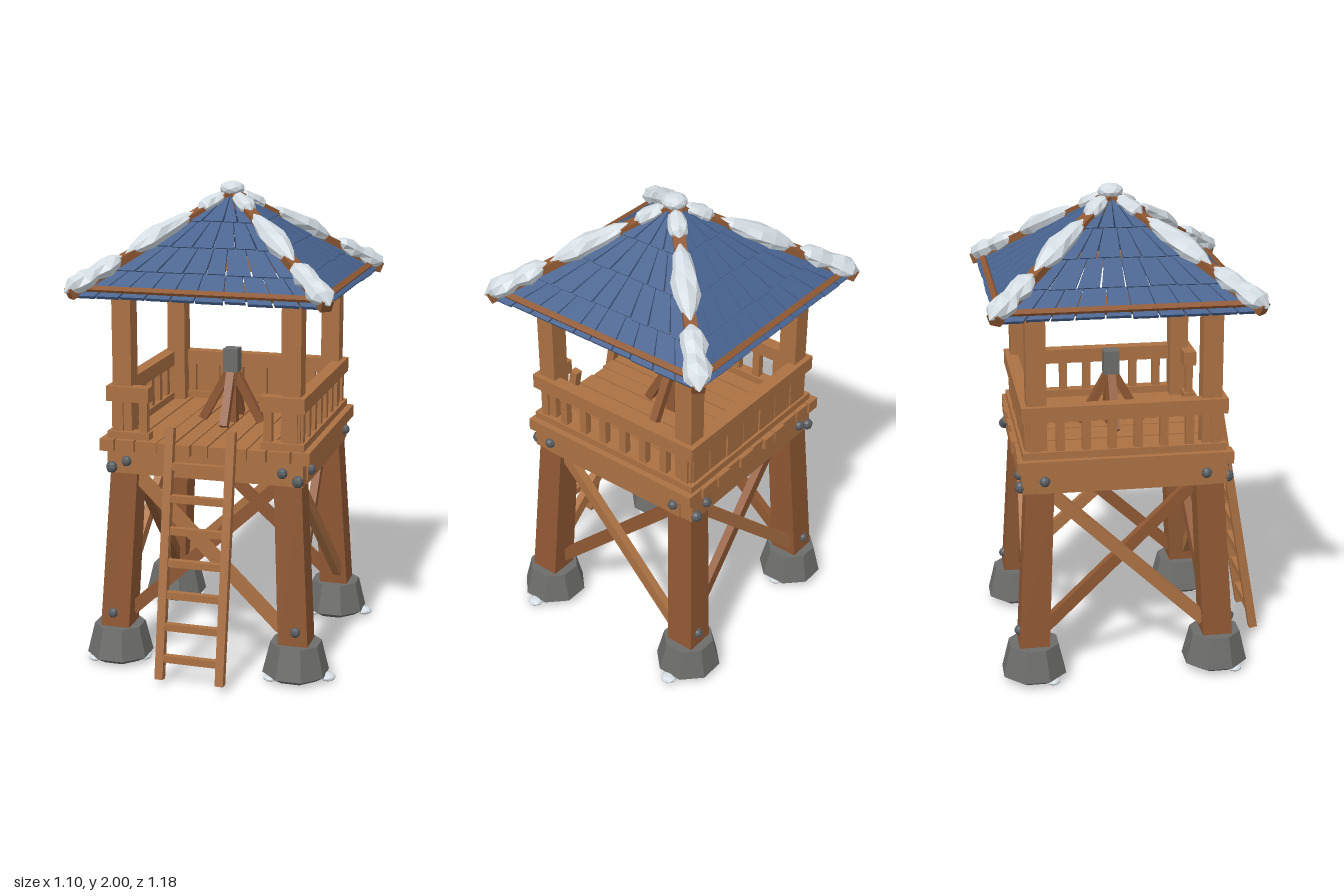
import * as THREE from 'three';
import { mergeGeometries } from 'three/addons/utils/BufferGeometryUtils.js';

const mat = (name, color, flatShading = false) => {
  const m = new THREE.MeshStandardMaterial({ color, flatShading });
  m.name = name;
  return m;
};

export function createModel() {
  const wood = mat('light wood', 0xab7143);
  const darkWood = mat('dark wood', 0x8f5833);
  const stone = mat('stone', 0x6c6c6a, true);
  const iron = mat('iron', 0x585c60, true);
  const blue = mat('blue shingle', 0x48638f);
  const snow = mat('snow', 0xd3dce2, true);

  const model = new THREE.Group();
  const tower = new THREE.Group();
  tower.name = 'tower';
  tower.position.set(-0.005, 0, -0.05);
  model.add(tower);

  let seed = 7;
  const rand = () => (seed = (seed * 16807) % 2147483647) / 2147483647;
  const add = (parent, name, geo, material, x = 0, y = 0, z = 0) => {
    const m = new THREE.Mesh(geo, material);
    m.name = name;
    m.position.set(x, y, z);
    parent.add(m);
    return m;
  };
  const box = (parent, name, material, w, h, d, x, y, z) =>
    add(parent, name, new THREE.BoxGeometry(w, h, d), material, x, y, z);
  // A part stretched from a to b; its geometry runs along local z
  const along = (parent, name, geo, material, a, b) => {
    const A = new THREE.Vector3(...a), B = new THREE.Vector3(...b);
    const m = add(parent, name, geo, material);
    const look = new THREE.Object3D();
    look.lookAt(B.clone().sub(A));
    m.quaternion.copy(look.quaternion);
    m.position.copy(A.add(B).multiplyScalar(0.5));
    return m;
  };
  const dist = (a, b) => new THREE.Vector3(...a).distanceTo(new THREE.Vector3(...b));
  const beam = (parent, name, material, a, b, w, h) =>
    along(parent, name, new THREE.BoxGeometry(w, h, dist(a, b)), material, a, b);
  // Lumpy snow drift: half widths w spaced evenly from a to b
  const drift = (parent, a, b, w, flat = 0.75) => {
    const L = dist(a, b);
    const pts = [0, ...w, 0].map((r, i, all) => new THREE.Vector2(r, (i / (all.length - 1) - 0.5) * L));
    const g = new THREE.LatheGeometry(pts, 8);
    const p = g.attributes.position;
    for (let i = 0; i < p.count; i++) {
      const x = p.getX(i), y = p.getY(i), z = p.getZ(i);
      const k = 1 + 0.1 * Math.sin(x * 90 + y * 70 + z * 50);
      p.setXYZ(i, x * k, y, z * k * flat);
    }
    g.rotateX(Math.PI / 2);
    return along(parent, 'snowDrift', g, snow, a, b);
  };
  const lump = (parent, r, x, y, z, sy) => {
    const m = add(parent, 'snowLump', new THREE.IcosahedronGeometry(r, 1), snow, x, y, z);
    m.scale.y = sy;
    return m;
  };
  const bolt = (parent, x, y, z, r = 0.022) =>
    add(parent, 'bolt', new THREE.SphereGeometry(r, 8, 6), iron, x, y, z);

  // Corners: footing, leaning leg, upper post
  for (const sx of [-1, 1]) for (const sz of [-1, 1]) {
    const corner = new THREE.Group();
    corner.name = 'corner';
    tower.add(corner);
    const prof = [[0, 0.005], [0.1, 0.005], [0.14, 0.03], [0.108, 0.16], [0, 0.16]];
    const foot = add(corner, 'stoneFooting',
      new THREE.LatheGeometry(prof.map(p => new THREE.Vector2(...p)), 8), stone, sx * 0.385, 0, sz * 0.385);
    foot.rotation.y = Math.PI / 8;
    lump(corner, 0.035, sx * 0.385 + (sx > 0 ? 0.135 : 0.105), 0.018, sz * 0.385, 0.5);
    lump(corner, 0.03, sx * 0.385 - 0.09, 0.015, sz * 0.385 + 0.07, 0.5);
    const legGeo = new THREE.BoxGeometry(0.125, 0.72, 0.125);
    const p = legGeo.attributes.position;
    for (let i = 0; i < p.count; i++) if (p.getY(i) > 0) {
      p.setX(i, p.getX(i) * 0.92 - sx * 0.04);
      p.setZ(i, p.getZ(i) * 0.92 - sz * 0.04);
    }
    legGeo.computeVertexNormals();
    add(corner, 'leg', legGeo, darkWood, sx * 0.387, 0.5, sz * 0.387);
    box(corner, 'post', wood, 0.08, 0.65, 0.08, sx * 0.355, 1.285, sz * 0.355);
    bolt(corner, sx * 0.395, 0.22, sz * 0.443);
    bolt(corner, sx * 0.395, 0.855, sz * 0.425, 0.025);
  }

  // Roof slope constants
  const apex = 1.93, k = 0.7, tilt = Math.atan(k), cosT = Math.cos(tilt);
  const rows = [0.012, 0.145, 0.27, 0.39, 0.515], counts = [4, 6, 8, 10];

  for (let s = 0; s < 4; s++) {
    const side = new THREE.Group();
    side.name = ['frontSide', 'leftSide', 'backSide', 'rightSide'][s];
    side.rotation.y = s * Math.PI / 2;
    tower.add(side);
    const len = s % 2 ? 0.72 : 0.83;

    // Frame under the deck, cross braces and bolts
    box(side, 'deckBeam', wood, len, 0.095, 0.06, 0, 0.878, 0.39);
    beam(side, 'brace', wood, [-0.32, 0.83, 0.365], [0.33, 0.22, 0.405], 0.035, 0.05);
    beam(side, 'brace', darkWood, [0.32, 0.83, 0.325], [-0.33, 0.22, 0.365], 0.035, 0.05);
    for (const x of [-0.33, 0.33]) bolt(side, x, 0.885, 0.425);

    // Railing: open entry in front, boards at the back, balusters on the sides
    const spans = s === 0 ? [[-0.415, -0.235], [0.235, 0.415]] : [[-0.415, 0.415]];
    for (const [a, b] of spans) {
      box(side, 'topRail', wood, b - a, 0.062, 0.055, (a + b) / 2, 1.163, 0.39);
      box(side, 'bottomRail', wood, b - a, 0.03, 0.05, (a + b) / 2, 0.99, 0.39);
    }
    if (s === 2) {
      for (let i = 0; i < 7; i++)
        box(side, 'board', wood, 0.104, 0.15, 0.022 + 0.012 * rand(), (i - 3) * 0.111, 1.065, 0.39);
    } else {
      for (let i = 0; i < 8; i++) {
        const x = (i - 3.5) * 0.105;
        if (s || Math.abs(x) > 0.24) box(side, 'baluster', wood, 0.034, 0.14, 0.03, x, 1.068, 0.39);
      }
    }

    // Roof plate, shingles with narrow gaps, and eave trim
    box(side, 'roofPlate', wood, 0.79, 0.06, 0.06, 0, 1.6, 0.355);
    const slope = new THREE.Group();
    slope.name = 'roofSlope';
    slope.position.y = apex;
    slope.rotation.x = tilt - Math.PI / 2;
    side.add(slope);
    const tiles = [];
    counts.forEach((n, row) => {
      const r0 = rows[row], r1 = rows[row + 1] + (row < 3 ? 0.006 : 0);
      const cuts = Array.from({ length: n + 1 }, (_, i) =>
        i % n ? -1 + (2 * i) / n + (rand() - 0.5) * 0.5 / n : i ? 1 : -1);
      for (let i = 0; i < n; i++) {
        const g0 = 0.0015, g1 = 0.004, a = cuts[i], b = cuts[i + 1], end = r1 - rand() * 0.006;
        const shape = new THREE.Shape([
          [a * r0 + g0, r0], [a * end + g1, end], [b * end - g1, end], [b * r0 - g0, r0],
        ].map(([x, r]) => new THREE.Vector2(x, -r / cosT)));
        const g = new THREE.ExtrudeGeometry(shape, { depth: 0.014, bevelEnabled: false });
        tiles.push(g.translate(0, 0, (3 - row) * 0.005));
      }
    });
    add(slope, 'shingles', mergeGeometries(tiles), blue);
    box(slope, 'eaveTrim', darkWood, 0.97, 0.024, 0.026, 0, -0.485 / cosT, 0.014);

    // Hip pole on the corner, with its snow
    const hip = (r, up = 0) => [r, 1.945 - r * 0.685 + up, r];
    beam(side, 'hipPole', darkWood, hip(0), hip(0.525), 0.05, 0.045);
    drift(side, hip(0.35, 0.018), hip(0.54, 0.018), [0.042, 0.053, 0.04, 0.057, 0.05]);
    drift(side, hip(0.12, 0.02), hip(0.355, 0.02), [0.032, 0.045, 0.052, 0.053, 0.035]);
    drift(side, hip(0.02, 0.018), hip(0.115, 0.018), [0.03, 0.035, 0.042, 0.036]);
  }
  lump(tower, 0.053, 0, 1.968, 0, 0.6);

  // Deck planks and joists
  let x0 = -0.445;
  const widths = Array.from({ length: 11 }, () => 0.8 + 0.4 * rand());
  const total = widths.reduce((a, b) => a + b);
  for (const w of widths) {
    const pw = (w / total) * 0.89;
    box(tower, 'deckPlank', wood, pw - 0.006, 0.046 + 0.006 * rand(), 0.855 + 0.03 * rand(),
      x0 + pw / 2, 0.95, 0);
    x0 += pw;
  }
  for (const z of [-0.13, 0.13]) box(tower, 'joist', darkWood, 0.74, 0.07, 0.05, 0, 0.89, z);

  // Central stand with four struts and an iron cap
  box(tower, 'standPost', darkWood, 0.048, 0.25, 0.048, 0, 1.09, 0);
  box(tower, 'standCap', stone, 0.064, 0.1, 0.064, 0, 1.245, 0);
  for (let s = 0; s < 4; s++) {
    const a = s * Math.PI / 2, c = Math.cos(a), d = Math.sin(a);
    beam(tower, 'strut', darkWood, [c * 0.015, 1.19, d * 0.015], [c * 0.13, 0.98, d * 0.13], 0.035, 0.035);
  }

  // Ladder leaning on the front edge
  const ladder = new THREE.Group();
  ladder.name = 'ladder';
  model.add(ladder);
  for (const x of [-0.137, 0.12])
    beam(ladder, 'ladderRail', wood, [x, 0.025, 0.565], [x, 1.045, 0.39], 0.035, 0.036);
  for (let i = 0; i < 7; i++) {
    const y = 0.112 + i * 0.13;
    box(ladder, 'rung', wood, 0.235, 0.03, 0.026, -0.008, y, 0.565 - (y - 0.025) * 0.1716);
  }
  return model;
}
